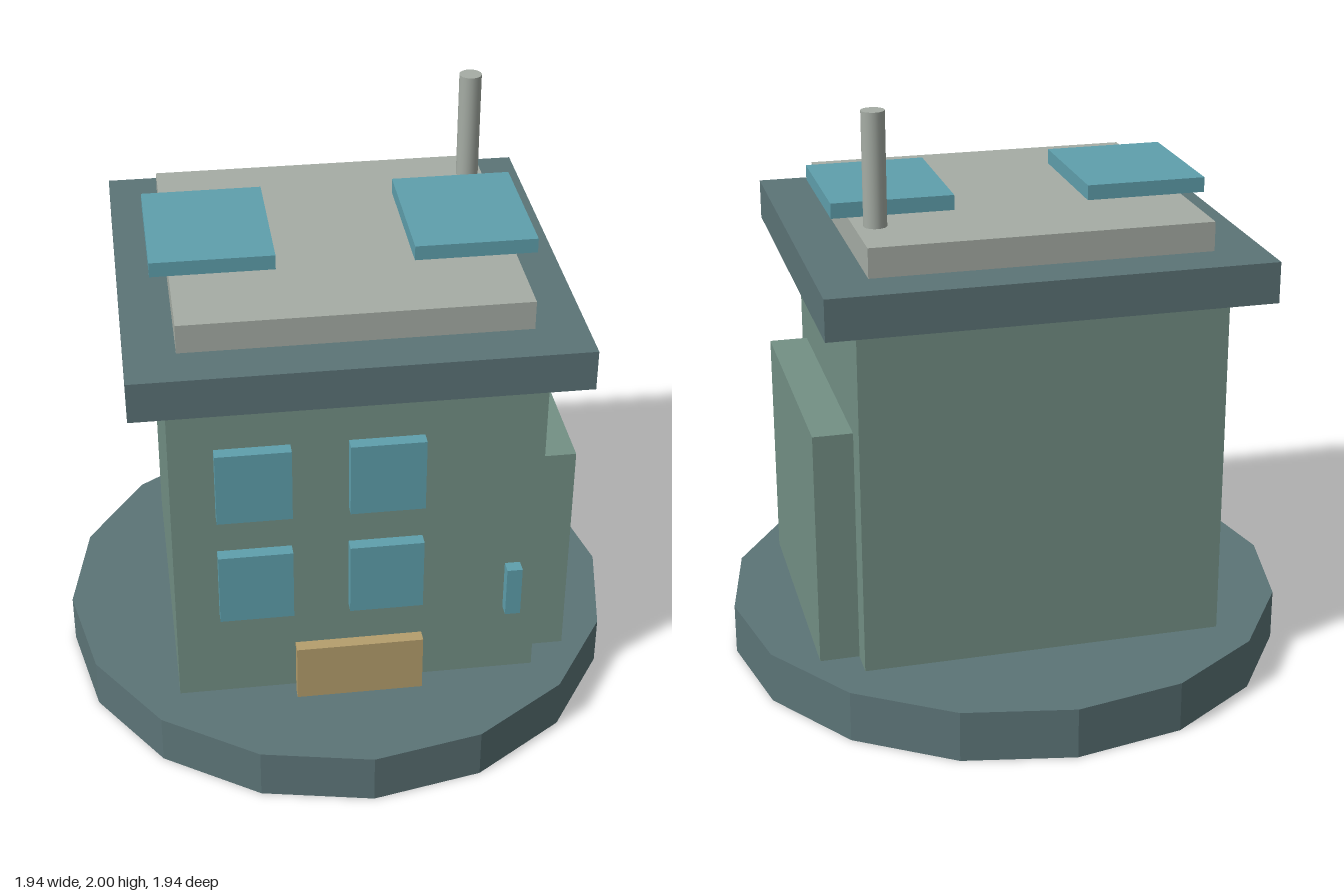
import * as THREE from 'three';

const flat = (name, color) => {
  const m = new THREE.MeshStandardMaterial({ color });
  m.name = name;
  return m;
};

export function createModel() {
  const slate = flat('slate', 0x5c7477);
  const wall = flat('wallGreen', 0x739085);
  const glass = flat('glassBlue', 0x5fa0ad);
  const stone = flat('paleStone', 0xa6ada5);
  const wood = flat('doorTan', 0xb59f6d);

  const model = new THREE.Group();
  model.name = 'house';

  // Box given by its min and max on each axis
  const box = (name, mat, [x0, x1], [y0, y1], [z0, z1]) => {
    const mesh = new THREE.Mesh(new THREE.BoxGeometry(x1 - x0, y1 - y0, z1 - z0), mat);
    mesh.position.set((x0 + x1) / 2, (y0 + y1) / 2, (z0 + z1) / 2);
    mesh.name = name;
    model.add(mesh);
  };

  // Faceted round base
  const baseGeo = new THREE.CylinderGeometry(0.968, 0.968, 0.175, 16).toNonIndexed();
  baseGeo.computeVertexNormals();
  const base = new THREE.Mesh(baseGeo, slate);
  base.position.y = 0.0875;
  base.name = 'base';
  model.add(base);

  // Walls, side annex and roof
  box('walls', wall, [-0.612, 0.61], [0.175, 1.38], [-0.56, 0.56]);
  box('sideAnnex', wall, [0.6, 0.742], [0.175, 0.98], [-0.457, 0.46]);
  box('roof', slate, [-0.73, 0.726], [1.378, 1.515], [-0.682, 0.682]);
  box('roofDeck', stone, [-0.566, 0.56], [1.515, 1.613], [-0.522, 0.522]);

  // Raised roof panels
  box('rightRoofPanel', glass, [-0.628, -0.226], [1.63, 1.68], [-0.241, 0.241]);
  box('leftRoofPanel', glass, [0.222, 0.624], [1.63, 1.68], [-0.241, 0.241]);

  // Chimney pipe
  const pipe = new THREE.Mesh(new THREE.CylinderGeometry(0.038, 0.038, 0.37, 20), stone);
  pipe.position.set(0.502, 1.815, -0.35);
  pipe.name = 'chimneyPipe';
  model.add(pipe);

  // Front windows in two rows
  for (const y of [0.51, 0.911]) {
    for (const x of [-0.467, -0.033]) {
      box('window', glass, [x, x + 0.246], [y, y + 0.261], [0.55, 0.604]);
    }
  }
  box('narrowWindow', glass, [0.497, 0.549], [0.44, 0.625], [0.55, 0.604]);

  // Door slab, standing just clear of the wall
  box('door', wood, [-0.216, 0.213], [0.175, 0.382], [0.588, 0.631]);

  return model;
}
